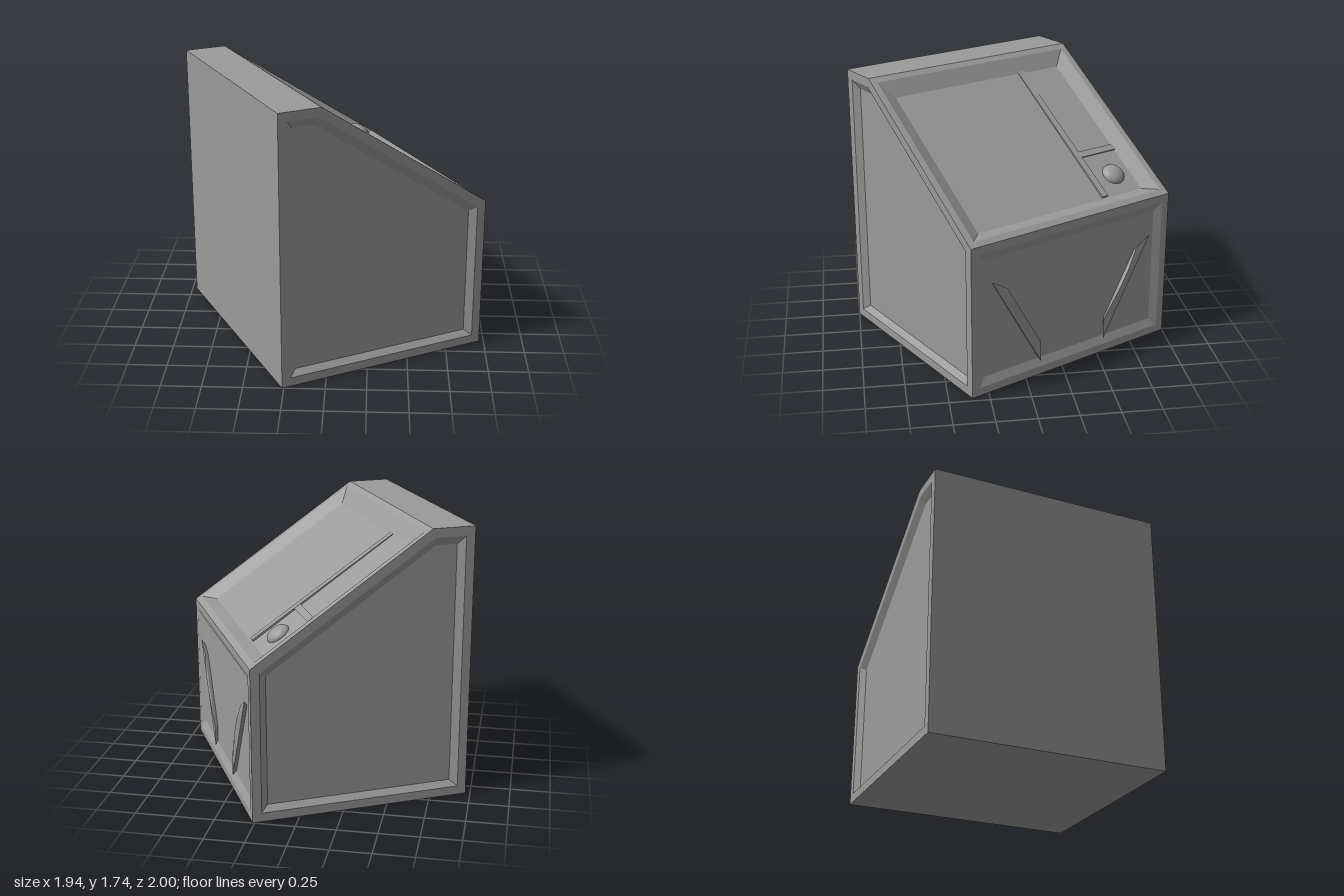
import * as THREE from 'three';
import { ConvexGeometry } from 'three/addons/geometries/ConvexGeometry.js';

const material = new THREE.MeshStandardMaterial({ color: 0x9b9b9b, flatShading: true });
const smooth = new THREE.MeshStandardMaterial({ color: 0x9b9b9b });
const HALF_WIDTH = 0.765;

// Side profile of the cabinet, counter-clockwise: depth along x, height along y
const profile = [[-0.695, 0], [0.695, 0], [0.695, 0.98], [-0.425, 1.735], [-0.695, 1.735]];

// Shrinks a convex counter-clockwise outline by a constant distance
function inset(points, dist) {
  const n = points.length;
  return points.map((p, i) => {
    const a = points[(i + n - 1) % n], b = points[(i + 1) % n];
    const d1 = new THREE.Vector2(p[0] - a[0], p[1] - a[1]).normalize();
    const d2 = new THREE.Vector2(b[0] - p[0], b[1] - p[1]).normalize();
    const k = dist / (1 + d1.dot(d2));
    return [p[0] - (d1.y + d2.y) * k, p[1] + (d1.x + d2.x) * k];
  });
}

// Flat panel facing +z, optionally with a rim, a bevel and a sunken floor set lower by drop
function panelGeometry(outline, recess) {
  const loops = [outline.map(([x, y]) => [x, y, 0])];
  if (recess) {
    const { rim, bevel, depth, drop } = recess;
    loops.push(inset(outline, rim).map(([x, y]) => [x, y, 0]));
    loops.push(inset(outline, rim + bevel).map(([x, y]) => [x, y - drop, -depth]));
  }
  const pos = [];
  const n = outline.length;
  for (let l = 0; l + 1 < loops.length; l++) {
    const A = loops[l], B = loops[l + 1];
    for (let i = 0; i < n; i++) {
      const j = (i + 1) % n;
      pos.push(...A[i], ...A[j], ...B[j], ...A[i], ...B[j], ...B[i]);
    }
  }
  const floor = loops[loops.length - 1];
  for (let i = 1; i + 1 < n; i++) pos.push(...floor[0], ...floor[i], ...floor[i + 1]);
  const g = new THREE.BufferGeometry();
  g.setAttribute('position', new THREE.Float32BufferAttribute(pos, 3));
  g.computeVertexNormals();
  return g;
}

function add(parent, name, geometry, x = 0, y = 0, z = 0, mat = material) {
  const mesh = new THREE.Mesh(geometry, mat);
  mesh.name = name;
  mesh.position.set(x, y, z);
  parent.add(mesh);
  return mesh;
}

export function createModel() {
  const model = new THREE.Group();
  model.name = 'console';

  // Left and right side panels
  const sideRecess = { rim: 0.057, bevel: 0.045, depth: 0.032, drop: 0.008 };
  add(model, 'sidePanel', panelGeometry(profile, sideRecess), 0, 0, HALF_WIDTH);
  const mirrored = profile.map(([x, y]) => [-x, y]).reverse();
  add(model, 'sidePanel', panelGeometry(mirrored, sideRecess), 0, 0, -HALF_WIDTH).rotation.y = Math.PI;

  // Panels running across the width, one for each edge of the profile
  const faces = [
    { name: 'base' },
    { name: 'frontPanel', recess: { rim: 0.053, bevel: 0.052, depth: 0.022, drop: 0 } },
    { name: 'slopedTop', recess: { rim: 0.044, bevel: 0.088, depth: 0.045, drop: 0.02 } },
    { name: 'topLedge' },
    { name: 'backPanel' },
  ];
  const groups = {};
  faces.forEach(({ name, recess }, i) => {
    const p = profile[i], q = profile[(i + 1) % profile.length];
    const along = new THREE.Vector3(q[0] - p[0], q[1] - p[1], 0);
    const h = along.length() / 2;
    along.normalize();
    const group = groups[name] = new THREE.Group();
    group.name = name;
    group.quaternion.setFromRotationMatrix(new THREE.Matrix4().makeBasis(
      new THREE.Vector3(0, 0, -1), along, new THREE.Vector3(along.y, -along.x, 0)));
    group.position.set((p[0] + q[0]) / 2, (p[1] + q[1]) / 2, 0);
    const w = HALF_WIDTH;
    add(group, name + 'Surface', panelGeometry([[-w, -h], [w, -h], [w, h], [-w, h]], recess));
    model.add(group);
  });

  // Pair of slanted fins on the front panel, level with its rim and slightly ridged
  const finOutline = [[0.617, 0.24], [0.506, 0.17], [0.25, -0.27], [0.25, -0.4]];
  const finFoot = [[0.59, 0.2], [0.506, 0.15], [0.27, -0.26], [0.27, -0.36]];
  const finRidge = [[0.44, 0.05], [0.385, -0.045]];
  for (const s of [-1, 1]) {
    const layer = (points, z) => points.map(([x, y]) => new THREE.Vector3(s * x, y, z));
    const pts = [...layer(finFoot, -0.025), ...layer(finOutline, 0), ...layer(finRidge, 0.012)];
    add(groups.frontPanel, 'frontFin', new ConvexGeometry(pts));
  }

  // Low dividers and round button on the sloped top
  const top = groups.slopedTop;
  add(top, 'longDivider', new THREE.BoxGeometry(0.045, 1.09, 0.03), 0.335, -0.01, -0.051).rotation.x = -0.007;
  add(top, 'shortDivider', new THREE.BoxGeometry(0.285, 0.045, 0.03), 0.495, -0.21, -0.051);
  add(top, 'button', new THREE.SphereGeometry(0.075, 32, 20), 0.503, -0.41, -0.045, smooth).scale.z = 0.6;

  // The cabinet stands turned on the ground
  model.rotation.y = 0.4826;
  const root = new THREE.Group();
  root.add(model);
  return root;
}
